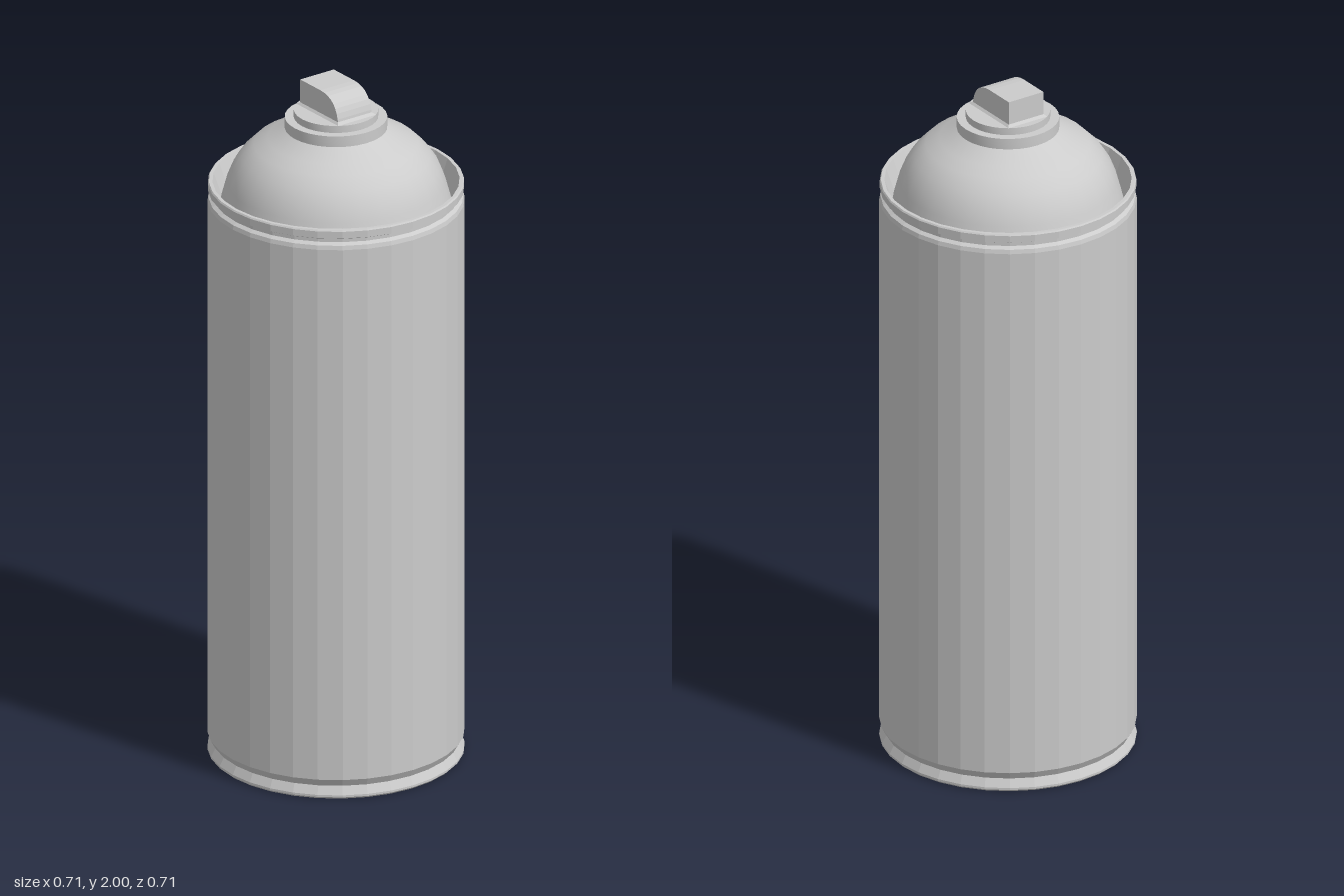
import * as THREE from 'three';
import { toCreasedNormals } from 'three/addons/utils/BufferGeometryUtils.js';

const SIDES = 32;

function addPart(group, name, geometry, flatShading = false) {
  const material = new THREE.MeshStandardMaterial({ color: 0xcccccc, flatShading });
  const mesh = new THREE.Mesh(geometry, material);
  mesh.name = name;
  group.add(mesh);
  return mesh;
}

// Profile of [radius, height] pairs, running up the outside
function lathe(profile) {
  return new THREE.LatheGeometry(profile.map(([r, y]) => new THREE.Vector2(r, y)), SIDES);
}

export function createModel() {
  const can = new THREE.Group();
  can.name = 'sprayCan';

  // Faceted can wall with a flat base and a pinched foot
  addPart(can, 'body', lathe([
    [0, 0], [0.35, 0], [0.356, 0.006], [0.356, 0.012], [0.344, 0.036],
    [0.356, 0.058], [0.356, 1.655], [0.353, 1.667], [0.343, 1.674],
  ]), true);

  // Crimped rim, with its inner wall sloping down to the foot of the dome
  addPart(can, 'rim', lathe([
    [0.343, 1.674], [0.343, 1.684], [0.355, 1.69], [0.355, 1.71],
    [0.352, 1.714], [0.342, 1.714], [0.32, 1.65],
  ]), true);

  // Smooth domed shoulder
  addPart(can, 'dome', lathe([
    [0.32, 1.65], [0.303, 1.713], [0.286, 1.755], [0.262, 1.79],
    [0.228, 1.824], [0.19, 1.842], [0.142, 1.873],
  ]));

  // Stepped collar carrying the nozzle
  addPart(can, 'collar', toCreasedNormals(lathe([
    [0.142, 1.873], [0.142, 1.905], [0.117, 1.905], [0.117, 1.926], [0, 1.926],
  ]), 0.5));

  // Nozzle button: flat top, curved down on one side
  const side = new THREE.Shape();
  side.moveTo(-0.088, 1.922);
  side.lineTo(0.088, 1.922);
  side.bezierCurveTo(0.083, 1.97, 0.06, 2, 0.005, 2);
  side.lineTo(-0.088, 2);
  side.closePath();
  const nozzle = new THREE.ExtrudeGeometry(side, { depth: 0.116, bevelEnabled: false, curveSegments: 8 });
  nozzle.translate(0, 0, -0.058);
  addPart(can, 'nozzle', nozzle, true);

  // Thin flare where the nozzle meets the collar
  const flare = new THREE.CylinderGeometry(0.9 * Math.SQRT2, Math.SQRT2, 1, 4, 1, true, Math.PI / 4);
  flare.scale(0.097, 0.006, 0.065).translate(0, 1.929, 0);
  addPart(can, 'nozzleFlare', flare, true);

  return can;
}
